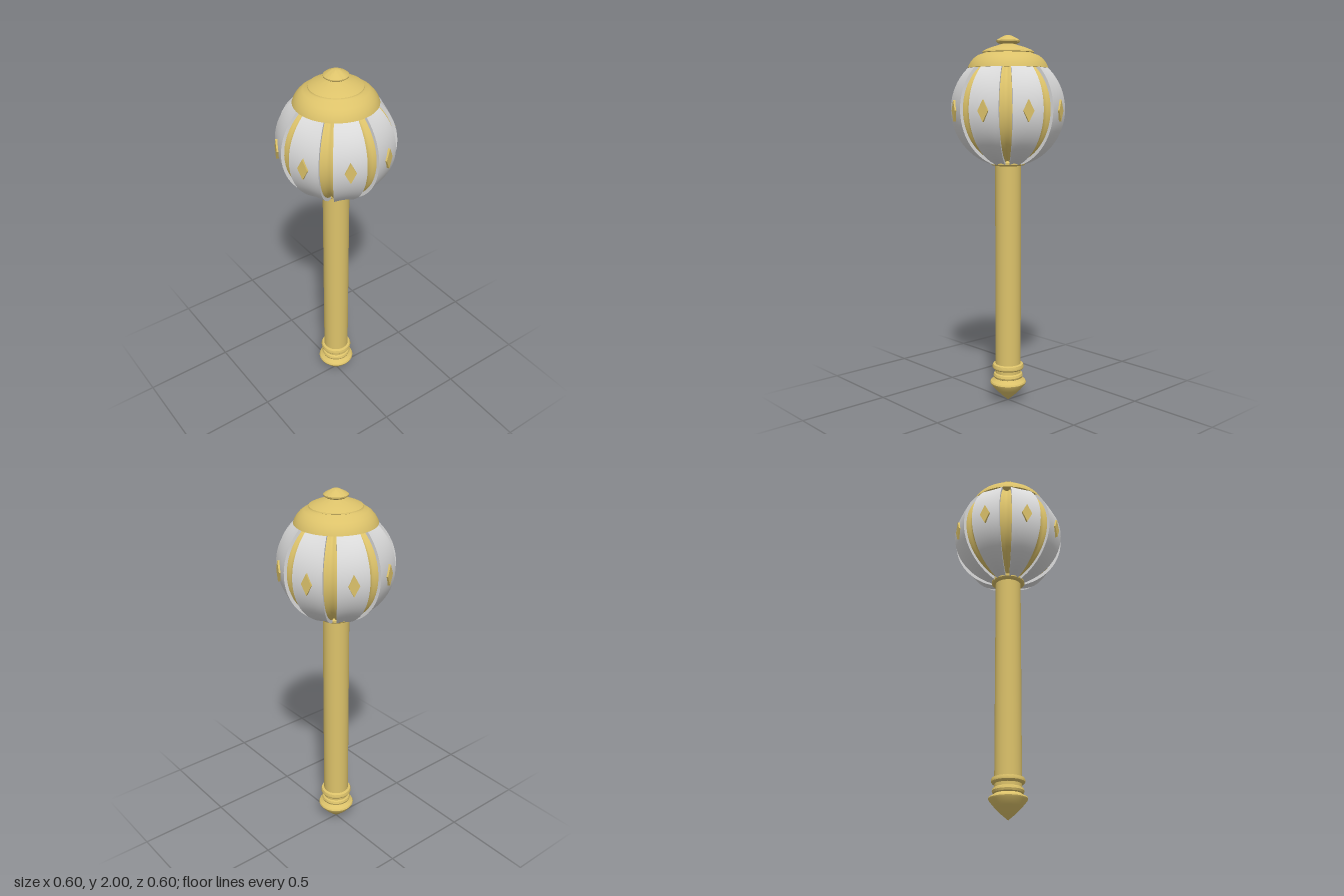
import * as THREE from 'three';
import { toCreasedNormals } from 'three/addons/utils/BufferGeometryUtils.js';

const gold = new THREE.MeshStandardMaterial({ color: 0xdcc26a });
gold.name = 'gold';
const silver = new THREE.MeshStandardMaterial({ color: 0xdadada });
silver.name = 'silver';

const HEAD_Y = 1.61, PANELS = 8, STEP = Math.PI * 2 / PANELS;

function add(parent, name, geometry, material) {
  const mesh = new THREE.Mesh(geometry, material);
  mesh.name = name;
  parent.add(mesh);
  return mesh;
}

// Turned part from [radius, height] points, listed bottom to top
function turned(points, crease = 0.6) {
  const profile = points.map(([r, y]) => new THREE.Vector2(r, y));
  return toCreasedNormals(new THREE.LatheGeometry(profile, 48), crease);
}

// Moves every vertex of a geometry by a rule
function reshape(geometry, rule) {
  const pos = geometry.attributes.position, v = new THREE.Vector3();
  for (let i = 0; i < pos.count; i++) {
    rule(v.fromBufferAttribute(pos, i));
    pos.setXYZ(i, v.x, v.y, v.z);
  }
  return geometry;
}

// Curved armour panel: box bent around the head (x = angle, y = latitude, z = radius)
function panelGeometry() {
  const halfAngle = THREE.MathUtils.degToRad(16);
  const box = reshape(new THREE.BoxGeometry(2, 1, 1, 8, 24, 1), v => {
    const angle = v.x * halfAngle;
    const theta = THREE.MathUtils.lerp(2.84, 0.72, v.y + 0.5);
    const r = v.z > 0 ? 0.304 * (1 - 0.026 * (1 - v.x * v.x)) : 0.262;
    v.set(r * Math.sin(theta) * Math.sin(angle), r * Math.cos(theta),
      r * Math.sin(theta) * Math.cos(angle));
  });
  return toCreasedNormals(box, 0.7);
}

// Core ball with a shallow hollow running down each gap
function coreGeometry() {
  const ball = reshape(new THREE.SphereGeometry(1, 128, 32), v => {
    const angle = Math.atan2(v.x, v.z);
    const off = Math.abs(angle - Math.round(angle / STEP) * STEP);
    v.multiplyScalar(0.276 + 0.011 * Math.min(1, (off / 0.1) ** 2));
  });
  ball.computeVertexNormals();
  return ball;
}

export function createModel() {
  const model = new THREE.Group();
  model.name = 'mace';

  // Handle
  add(model, 'shaft', new THREE.CylinderGeometry(0.07, 0.07, 1.2, 48).translate(0, 0.76, 0), gold);
  add(model, 'pommel', turned([
    [0, 0], [0.035, 0.03], [0.07, 0.065], [0.097, 0.098], [0.1, 0.106], [0.096, 0.114],
    [0.075, 0.125], [0.07, 0.13], [0.078, 0.134], [0.082, 0.145], [0.078, 0.157],
    [0.07, 0.162], [0.07, 0.18], [0.08, 0.183], [0.086, 0.19], [0.087, 0.2],
    [0.083, 0.21], [0.07, 0.214],
  ]), gold);
  add(model, 'collar', turned([
    [0.068, 1.312], [0.085, 1.315], [0.092, 1.322], [0.092, 1.333], [0.085, 1.34], [0.06, 1.342],
  ]), gold);

  // Head
  const head = new THREE.Group();
  head.name = 'head';
  head.position.y = HEAD_Y;
  model.add(head);
  add(head, 'core', coreGeometry(), gold);

  const panel = panelGeometry();
  const diamond = toCreasedNormals(new THREE.CylinderGeometry(1, 1, 1, 4)
    .rotateX(Math.PI / 2).scale(0.029, 0.056, 0.02).translate(0, -0.005, 0.294), 0.3);
  for (let i = 0; i < PANELS; i++) {
    const section = new THREE.Group();
    section.name = 'panelSection';
    section.rotation.y = (i + 0.5) * STEP;
    add(section, 'panel', panel, silver);
    add(section, 'diamondStud', diamond, gold);
    head.add(section);
  }

  // Cap and finial
  add(model, 'cap', turned([
    [0, 1.828], [0.213, 1.828], [0.208, 1.842], [0.196, 1.862], [0.18, 1.88], [0.16, 1.894],
    [0.135, 1.902], [0.13, 1.906], [0.137, 1.909], [0.135, 1.915], [0.12, 1.923],
    [0.09, 1.935], [0.06, 1.944], [0.04, 1.95], [0.036, 1.955],
  ]), gold);
  add(model, 'finial', turned([
    [0.034, 1.95], [0.052, 1.956], [0.062, 1.963], [0.063, 1.97], [0.055, 1.977],
    [0.036, 1.987], [0.018, 1.996], [0, 2],
  ]), gold);

  return model;
}
